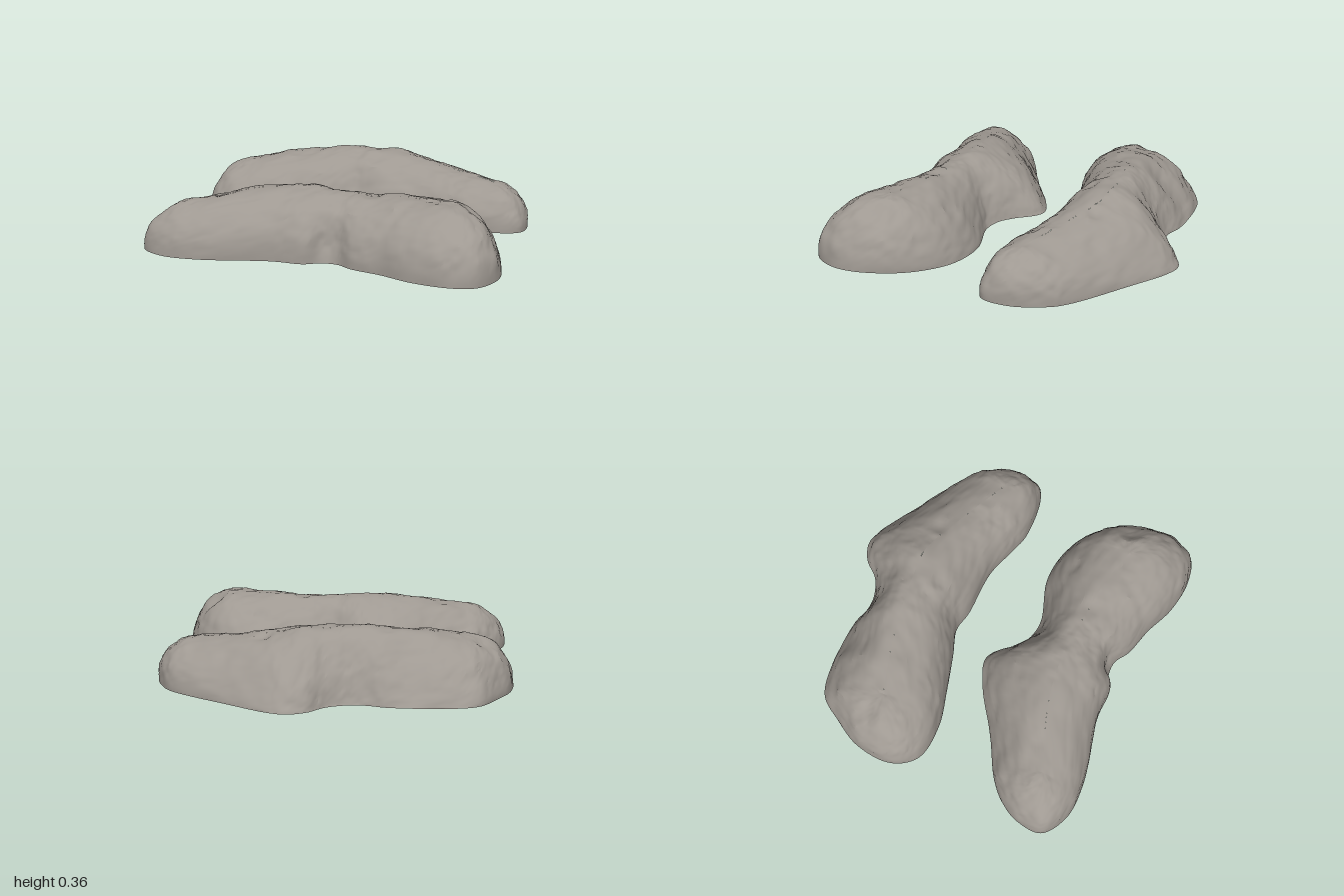
import * as THREE from 'three';
import { toCreasedNormals } from 'three/addons/utils/BufferGeometryUtils.js';

// Outline points: [x, edge roundness, z], running along the back then the front.
// Ridge points: [x, height, z]. Pits: [x, z, radius, depth].
const backStone = {
  outline: [
    [-0.89, 2, -0.4], [-0.855, 1.9, -0.56], [-0.75, 1.6, -0.72], [-0.63, 1.3, -0.845], [-0.455, 1.1, -0.866],
    [-0.19, 1.1, -0.835], [-0.09, 1.1, -0.795], [0, 1.1, -0.785], [0.11, 1.1, -0.815], [0.21, 1, -0.9],
    [0.3, 1, -0.928], [0.39, 1.1, -0.9], [0.615, 1.4, -0.73], [0.88, 1.7, -0.51], [0.95, 1.9, -0.4],
    [0.99, 2, -0.24], [0.965, 2, -0.1], [0.88, 2.1, -0.053], [0.64, 2.1, -0.065], [0.535, 2.1, -0.107],
    [0.35, 2.1, -0.19], [0.08, 2.1, -0.23], [-0.04, 2, -0.265], [-0.19, 2.1, -0.235], [-0.4, 2.1, -0.2],
    [-0.6, 2.1, -0.175], [-0.8, 2, -0.215], [-0.87, 2, -0.3],
  ],
  ridge: [[-0.6, 0.285, -0.48], [-0.35, 0.325, -0.52], [-0.05, 0.347, -0.54], [0.25, 0.335, -0.53],
    [0.55, 0.275, -0.39], [0.8, 0.235, -0.25]],
  pits: [[0.42, -0.51, 0.07, 0.02], [-0.72, -0.53, 0.08, 0.015], [0.6, -0.57, 0.06, 0.012],
    [0.1, -0.4, 0.06, 0.012], [-0.3, -0.74, 0.16, 0.025], [0.05, -0.27, 0.1, 0.02]],
};
const frontStone = {
  outline: [
    [-1, 2, 0.54], [-0.98, 2, 0.4], [-0.91, 1.9, 0.295], [-0.8, 1.7, 0.21], [-0.56, 1.3, 0.107],
    [-0.32, 1.1, -0.016], [-0.16, 1, -0.056], [-0.107, 1, -0.027], [-0.027, 1.1, 0.08], [0.053, 1.2, 0.15],
    [0.16, 1.2, 0.176], [0.4, 1.2, 0.135], [0.6, 1.4, 0.176], [0.75, 1.7, 0.295], [0.84, 1.9, 0.45],
    [0.88, 2, 0.64], [0.855, 2.1, 0.785], [0.775, 2.1, 0.89], [0.64, 2.2, 0.914], [0.455, 2.2, 0.866],
    [0.29, 2.1, 0.775], [0.13, 2, 0.706], [0.053, 2, 0.647], [-0.027, 2, 0.636], [-0.13, 2.1, 0.668],
    [-0.29, 2.1, 0.647], [-0.67, 2.1, 0.68], [-0.88, 2, 0.645],
  ],
  ridge: [[-0.74, 0.255, 0.46], [-0.4, 0.32, 0.38], [-0.15, 0.335, 0.37], [0.2, 0.32, 0.43], [0.4, 0.327, 0.48],
    [0.58, 0.335, 0.55]],
  pits: [[0.72, 0.52, 0.08, 0.022], [0.21, 0.44, 0.08, 0.016], [0.45, 0.27, 0.07, 0.012],
    [-0.6, 0.4, 0.06, 0.01], [0.0, 0.63, 0.1, 0.02], [0.08, 0.22, 0.12, 0.02]],
};

const hash = (x, y, z) => {
  const s = Math.sin(x * 127.1 + y * 311.7 + z * 74.7) * 43758.5453;
  return s - Math.floor(s);
};

// Smooth value noise in the range -1 to 1
function noise(x, y, z) {
  const [i, j, k] = [x, y, z].map(Math.floor);
  const [u, v, w] = [x - i, y - j, z - k].map((t) => t * t * (3 - 2 * t));
  const mix = THREE.MathUtils.lerp;
  const edge = (b, c) => mix(hash(i, j + b, k + c), hash(i + 1, j + b, k + c), u);
  return 2 * mix(mix(edge(0, 0), edge(1, 0), v), mix(edge(0, 1), edge(1, 1), v), w) - 1;
}

// Ridge point at a given x, clamped to the ends of the ridge
function ridgeAt(samples, x) {
  const first = samples[0], last = samples[samples.length - 1];
  if (x <= first.x) return first.clone();
  if (x >= last.x) return last.clone();
  const n = samples.findIndex((p) => p.x > x);
  const a = samples[n - 1], b = samples[n];
  return a.clone().lerp(b, (x - a.x) / (b.x - a.x));
}

function stoneGeometry({ outline, ridge, pits }) {
  const COUNT = 230, RINGS = 30;
  const toVec = (p) => new THREE.Vector3(...p);
  const edge = new THREE.CatmullRomCurve3(outline.map(toVec), true).getPoints(COUNT).slice(0, COUNT);
  const crest = new THREE.CatmullRomCurve3(ridge.map(toVec)).getPoints(80);
  const positions = [], index = [];

  // Domed rings from the ground outline up to the ridge
  for (let k = 0; k <= RINGS; k++) {
    const angle = (k / RINGS) * Math.PI / 2;
    const u = Math.cos(angle), rise = Math.sin(angle);
    for (const e of edge) {
      const top = ridgeAt(crest, e.x);
      const p = new THREE.Vector3(
        top.x + (e.x - top.x) * u,
        top.y * Math.pow(rise, 2 / e.y),
        top.z + (e.z - top.z) * u,
      );
      const out = new THREE.Vector3(p.x - top.x, p.y, p.z - top.z).normalize();
      let push = 0.009 * noise(p.x * 9, p.y * 9, p.z * 9)
        + 0.005 * noise(p.x * 24, p.y * 24, p.z * 24)
        + 0.0025 * noise(p.x * 60, p.y * 60, p.z * 60);
      for (const [px, pz, radius, depth] of pits) {
        const d = Math.hypot(p.x - px, p.z - pz) / radius;
        if (d < 1) push -= depth * (1 - d * d) ** 2;
      }
      p.addScaledVector(out, push * Math.min(1, rise * 3));
      positions.push(p.x, k === 0 ? 0 : p.y, p.z);
    }
  }
  // Ridge line dropped to the ground, used to close the flat underside
  for (const e of edge) {
    const top = ridgeAt(crest, e.x);
    positions.push(top.x, 0, top.z);
  }
  const under = (RINGS + 1) * COUNT;
  for (let i = 0; i < COUNT; i++) {
    const j = (i + 1) % COUNT;
    for (let k = 0; k < RINGS; k++) {
      const a = k * COUNT + i, b = k * COUNT + j, c = a + COUNT, d = b + COUNT;
      index.push(a, c, b, b, c, d);
    }
    index.push(i, j, under + i, j, under + j, under + i);
  }
  const geometry = new THREE.BufferGeometry();
  geometry.setAttribute('position', new THREE.Float32BufferAttribute(positions, 3));
  geometry.setIndex(index);
  return toCreasedNormals(geometry, 0.45);
}

export function createModel() {
  const stone = new THREE.MeshStandardMaterial({ color: 0x9f9992 });
  stone.name = 'warm grey stone';
  const group = new THREE.Group();
  group.name = 'stonePair';
  for (const [name, shape] of Object.entries({ backStone, frontStone })) {
    const mesh = new THREE.Mesh(stoneGeometry(shape), stone);
    mesh.name = name;
    group.add(mesh);
  }
  return group;
}
